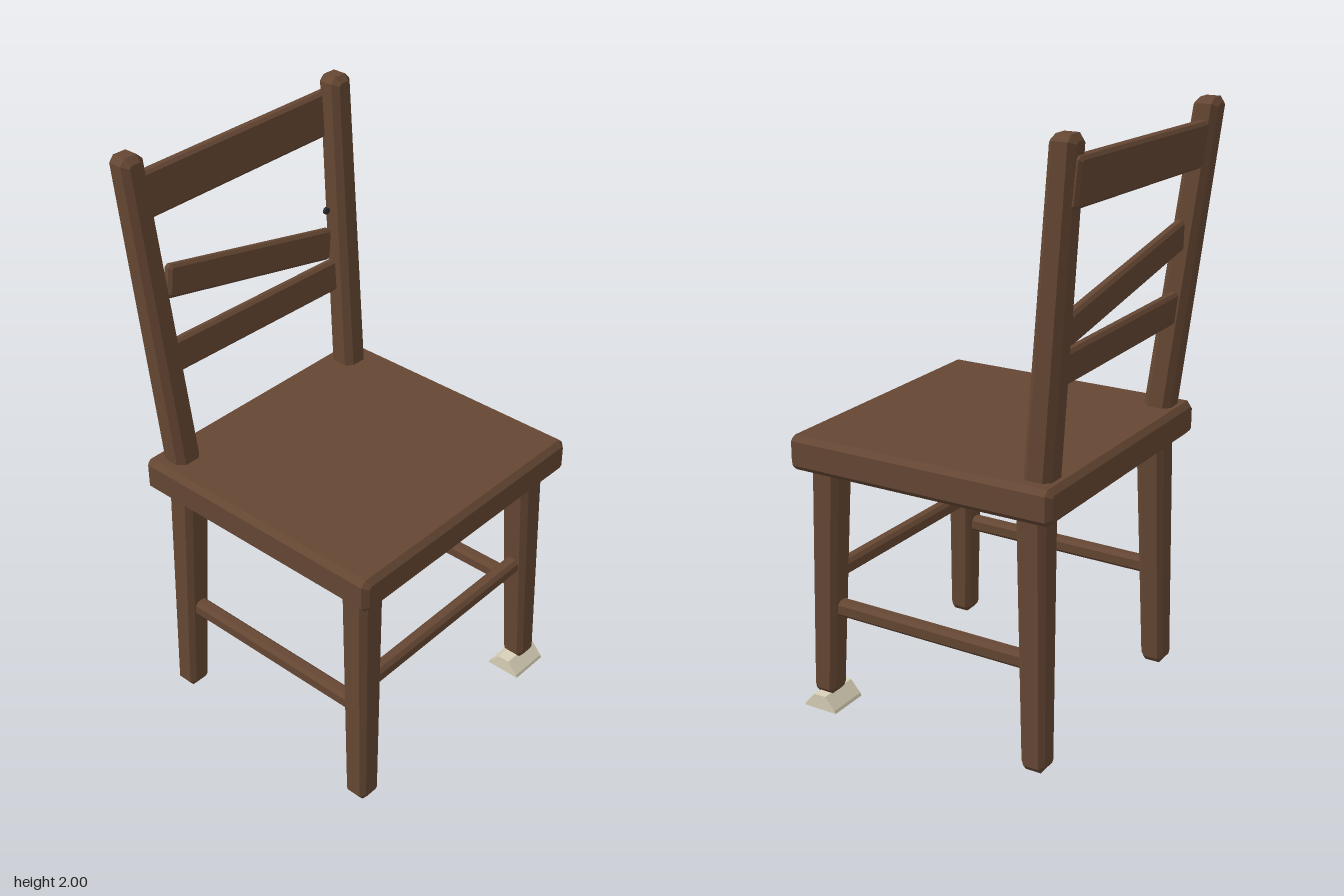
import * as THREE from 'three';

const material = (name, color) => {
  const m = new THREE.MeshStandardMaterial({ color });
  m.name = name;
  return m;
};

// Box with every edge chamfered by c, centred on the origin
function chamferBox(w, h, d, c) {
  const a = w / 2, b = h / 2;
  const outline = [
    [a - c, -b], [a, -b + c], [a, b - c], [a - c, b],
    [-a + c, b], [-a, b - c], [-a, -b + c], [-a + c, -b],
  ].map(([x, y]) => new THREE.Vector2(x, y));
  const geo = new THREE.ExtrudeGeometry(new THREE.Shape(outline), {
    depth: d - 2 * c, bevelEnabled: true, bevelSegments: 1,
    bevelSize: c, bevelThickness: c, bevelOffset: -c,
  });
  return geo.translate(0, 0, -d / 2 + c);
}

// Leaning, tapering post from a bottom centre to a top centre
function post(bottom, top, bottomSize, topSize) {
  const [x0, y0, z0] = bottom, [x1, y1, z1] = top;
  const h = y1 - y0;
  const geo = chamferBox(1, 1, h, 0.018);
  geo.dispose();
  const g = chamferBox(topSize, h, topSize, 0.019);
  const p = g.attributes.position;
  for (let i = 0; i < p.count; i++) {
    const t = p.getY(i) / h + 0.5;
    const s = THREE.MathUtils.lerp(bottomSize, topSize, t) / topSize;
    p.setXYZ(i,
      p.getX(i) * s + THREE.MathUtils.lerp(x0, x1, t),
      y0 + t * h,
      p.getZ(i) * s + THREE.MathUtils.lerp(z0, z1, t));
  }
  g.computeVertexNormals();
  return g;
}

export function createModel() {
  const chair = new THREE.Group();
  chair.name = 'chair';
  const wood = material('brown wood', 0x654733);
  const card = material('pale wedge', 0xd9d1b8);
  const iron = material('dark nail', 0x2f2d2d);

  const add = (name, geo, mat, pos = [0, 0, 0], rot = [0, 0, 0]) => {
    const mesh = new THREE.Mesh(geo, mat);
    mesh.name = name;
    mesh.position.set(...pos);
    mesh.rotation.set(...rot);
    chair.add(mesh);
  };

  // Seat
  add('seat', chamferBox(1.0, 0.118, 0.96, 0.018), wood, [0, 0.91, 0.04], [0, 0, 0.005]);

  // Legs; the front left one is short and stands on a wedge
  for (const side of [-1, 1]) {
    const name = side < 0 ? 'Right' : 'Left';
    const foot = side > 0 ? 0.05 : 0;
    add('frontLeg' + name, post([side * 0.425, foot, 0.445], [side * 0.402, 0.88, 0.42], 0.084, 0.104), wood);
    add('backLeg' + name, post([side * 0.425, 0, -0.362], [side * 0.402, 0.88, -0.34], 0.084, 0.104), wood);
    add('sideStretcher' + name, chamferBox(0.05, 0.055, 0.76, 0.012), wood, [side * 0.415, 0.363, 0.045], [-0.006, 0, 0]);
  }
  add('frontStretcher', chamferBox(0.8, 0.053, 0.05, 0.012), wood, [0, 0.47, 0.433], [0, 0, 0.016]);

  // Back posts, leaning by different amounts
  add('backPostRight', post([-0.405, 0.93, -0.355], [-0.436, 2, -0.482], 0.098, 0.086), wood);
  add('backPostLeft', post([0.4, 0.93, -0.355], [0.43, 2, -0.446], 0.098, 0.086), wood);

  // Back slats, the middle one hanging loose
  add('topSlat', chamferBox(0.86, 0.15, 0.042, 0.01), wood, [0.02, 1.861, -0.472], [-0.1, 0, 0.015]);
  add('looseSlat', chamferBox(0.735, 0.108, 0.036, 0.01), wood, [0, 1.495, -0.422], [-0.1, 0, -0.197]);
  add('lowerSlat', chamferBox(0.8, 0.112, 0.036, 0.01), wood, [0, 1.31, -0.402], [-0.1, 0, -0.012]);

  // Nail left behind by the loose slat
  add('nail', new THREE.CylinderGeometry(0.012, 0.012, 0.01, 10), iron, [0.312, 1.575, -0.377], [Math.PI / 2, 0, 0]);

  // Wedge under the short leg
  const profile = new THREE.Shape([
    [-0.064, 0], [0.064, 0], [0.06, 0.01], [0.022, 0.052], [-0.022, 0.052], [-0.06, 0.01],
  ].map(([x, y]) => new THREE.Vector2(x, y)));
  const wedge = new THREE.ExtrudeGeometry(profile, { depth: 0.146, bevelEnabled: false });
  wedge.translate(0, 0, -0.073).rotateY(Math.PI / 2);
  add('wedge', wedge, card, [0.417, 0.003, 0.442]);

  return chair;
}
